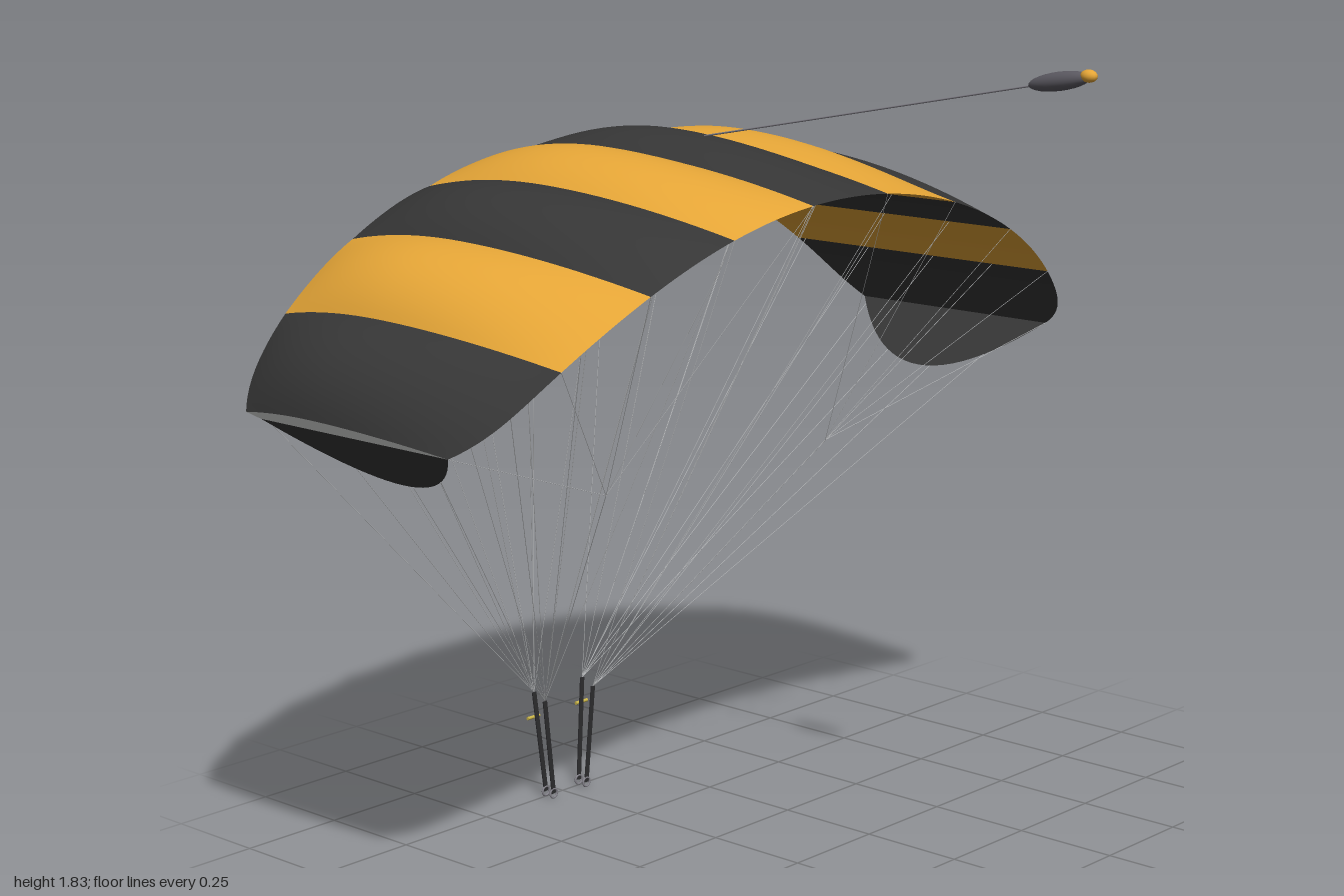
import * as THREE from 'three';

const mat = (name, color, double = true) => {
  const m = new THREE.MeshStandardMaterial({ color, side: double ? THREE.DoubleSide : THREE.FrontSide });
  m.name = name;
  return m;
};

const R = 1.31, CY = 0.21, STEP = THREE.MathUtils.degToRad(10.6), HALF = 4.5;

// Canopy arc: t counts cells across the span, u runs nose to tail, h is the radial height
const tipRound = (s) => Math.max(0, (s - 0.8) / 0.2) ** 4;
const noseZ = (s) => -0.757 + 0.075 * s ** 4 + 0.03 * tipRound(s);
const tailZ = (s) => 0.15 - 0.155 * s ** 3.2 - 0.05 * tipRound(s);
function arcPoint(t, u, h, recess = 0) {
  const s = Math.abs(t) / HALF, a = t * STEP;
  const z = THREE.MathUtils.lerp(noseZ(s), tailZ(s), u) + recess;
  return new THREE.Vector3((R + h) * Math.sin(a), CY + (R + h) * Math.cos(a), z);
}
// Airfoil height along the chord
const foil = (u) => (u < 0.36 ? 1 - 0.57 * (1 - u / 0.36) ** 2 : 1 - ((u - 0.36) / 0.64) ** 1.8);
const ribHeight = (t, u) => 0.07 * (1 - 0.35 * (Math.abs(t) / HALF) ** 6) * foil(u);
const stabDepth = (u) => 0.178 * Math.max(0, 1 - (2 * (u - 0.05) / 0.95 - 1) ** 2);

// Smooth grid surface from a function of two parameters in 0..1
function surface(fn, nu, nv) {
  const pos = [], idx = [];
  for (let i = 0; i <= nu; i++)
    for (let j = 0; j <= nv; j++) pos.push(...fn(i / nu, j / nv).toArray());
  for (let i = 0; i < nu; i++)
    for (let j = 0; j < nv; j++) {
      const a = i * (nv + 1) + j, b = a + nv + 1;
      idx.push(a, b, a + 1, b, b + 1, a + 1);
    }
  const g = new THREE.BufferGeometry();
  g.setAttribute('position', new THREE.Float32BufferAttribute(pos, 3));
  g.setIndex(idx);
  g.computeVertexNormals();
  return g;
}

export function createModel() {
  const model = new THREE.Group();
  const gold = mat('gold fabric', 0xe6a637);
  const black = mat('black fabric', 0x363636);
  const pale = mat('pale rib fabric', 0xe4e6e4);
  const cord = mat('pale line cord', 0xc4c6c8, false);
  const bridleGrey = mat('bridle grey', 0x84828a, false);
  const webbing = mat('riser webbing', 0x2c2c2e, false);
  const grey = mat('drogue grey', 0x5c5a62, false);
  const yellow = mat('toggle yellow', 0xcdb84a, false);

  const add = (parent, name, geo, material) => {
    const m = new THREE.Mesh(geo, material);
    m.name = name;
    parent.add(m);
    return m;
  };
  const group = (name) => {
    const g = new THREE.Group();
    g.name = name;
    model.add(g);
    return g;
  };
  // Straight round cord between two points
  const strand = (parent, name, a, b, r, material) => {
    const d = b.clone().sub(a);
    const m = add(parent, name, new THREE.CylinderGeometry(r, r, d.length(), 6), material);
    m.position.copy(a).addScaledVector(d, 0.5);
    m.quaternion.setFromUnitVectors(new THREE.Vector3(0, 1, 0), d.normalize());
  };

  // Nine inflated cells in alternating colours, open at the nose
  const canopy = group('canopy');
  for (let c = -4; c <= 4; c++) {
    const fabric = c % 2 ? gold : black;
    add(canopy, 'cellTop', surface((u, v) => {
      const t = c - 0.5 + v, puff = 1 - (2 * v - 1) ** 2;
      return arcPoint(t, u, ribHeight(t, u) + 0.032 * puff * foil(u), 0.02 * puff * (1 - u) ** 4);
    }, 32, 16), fabric);
    add(canopy, 'cellBottom', surface((u, v) => arcPoint(c - 0.5 + v, 0.05 + 0.95 * u, 0), 16, 16), fabric);
  }

  // Ribs between the cells and at both tips
  for (let t = -HALF; t <= HALF; t++) {
    add(canopy, 'rib', surface((u, v) => {
      const low = 0.05 * (1 - v) * (1 - u);
      return arcPoint(t, u + low, ribHeight(t, u) * v);
    }, 24, 1), pale);
  }

  // Stabilizer flaps hanging inward from the tips
  for (const side of [-1, 1]) {
    add(canopy, 'stabilizer', surface((w, v) => {
      const u = 0.05 + 0.95 * w;
      return arcPoint(side * HALF, u, -stabDepth(u) * v);
    }, 24, 2), black);
  }

  const lines = group('suspensionLines');
  const risers = group('risers');
  for (const side of [-1, 1]) {
    const front = new THREE.Vector3(side * 0.08, 0.265, -0.758);
    const rear = new THREE.Vector3(side * 0.08, 0.25, -0.722);
    const cascade = new THREE.Vector3(side * 0.36, 0.88, -0.23);

    // Four rows of lines to every rib, then the branching brake lines
    for (let t = 0.5; t <= HALF; t++) {
      for (const [u, from] of [[0.08, front], [0.33, front], [0.58, rear], [0.8, rear]]) {
        const h = t === HALF ? -stabDepth(u) : 0;
        strand(lines, 'line', from, arcPoint(side * t, u, h), 0.0007, cord);
      }
      strand(lines, 'brakeBranch', cascade, arcPoint(side * t, 1, 0), 0.0006, cord);
    }
    strand(lines, 'brakeLine', rear, cascade, 0.0008, cord);

    // Webbing straps with a ring at the foot
    for (const [top, z] of [[front, -0.75], [rear, -0.724]]) {
      const foot = new THREE.Vector3(side * 0.055, 0.015, z);
      const d = top.clone().sub(foot);
      const strap = add(risers, 'riserStrap', new THREE.BoxGeometry(0.012, d.length(), 0.003), webbing);
      strap.position.copy(foot).addScaledVector(d, 0.5);
      strap.quaternion.setFromUnitVectors(new THREE.Vector3(0, 1, 0), d.normalize());
      const ring = add(risers, 'riserRing', new THREE.TorusGeometry(0.011, 0.0025, 8, 20), bridleGrey);
      ring.position.copy(foot);
    }
    // Brake toggle across the strap
    const toggle = add(risers, 'brakeToggle', new THREE.CylinderGeometry(0.004, 0.004, 0.038, 10), yellow);
    toggle.rotation.z = Math.PI / 2;
    toggle.position.set(side * 0.08, 0.203, -0.762);
  }

  // Trailing drogue on its bridle
  const drogue = group('drogue');
  strand(drogue, 'bridle', new THREE.Vector3(0, 1.615, -0.27), new THREE.Vector3(0, 1.787, 0.62), 0.002, bridleGrey);
  const body = add(drogue, 'drogueBody', new THREE.SphereGeometry(1, 20, 14), grey);
  body.scale.set(0.019, 0.019, 0.077);
  body.rotation.x = -0.17;
  body.position.set(0, 1.8, 0.685);
  const tip = add(drogue, 'drogueTip', new THREE.SphereGeometry(1, 16, 10), gold);
  tip.scale.set(0.014, 0.013, 0.019);
  tip.position.set(0, 1.815, 0.756);

  return model;
}
